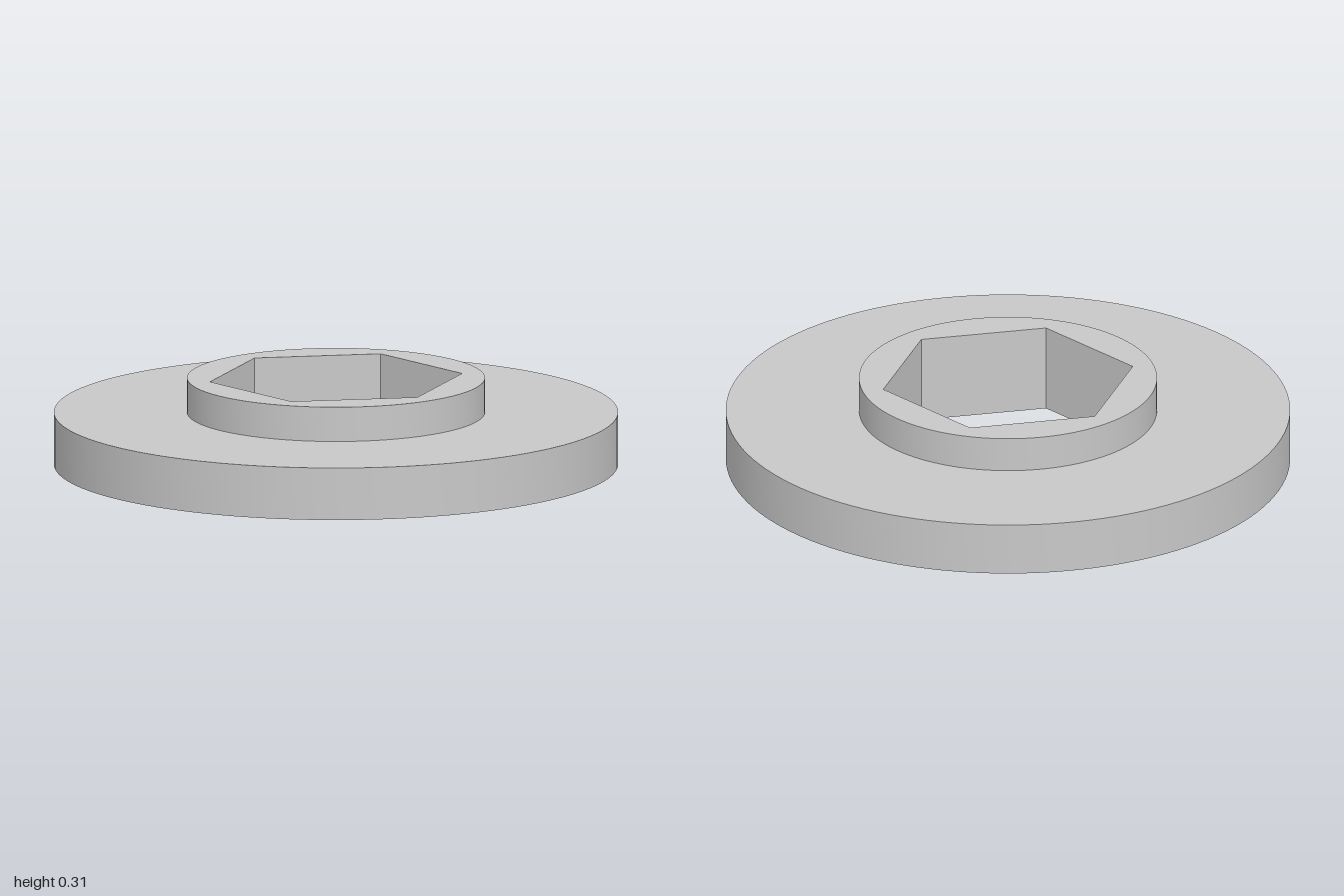
import * as THREE from 'three';
import { toCreasedNormals } from 'three/addons/utils/BufferGeometryUtils.js';

const FLANGE_R = 1, FLANGE_H = 0.188;
const COLLAR_R = 0.528, TOP = 0.312;
const HEX_R = 0.453; // centre to corner
const SEGMENTS = 128;

export function createModel() {
  const group = new THREE.Group();
  group.name = 'hexBoreFlange';
  const metal = new THREE.MeshStandardMaterial({ color: 0xc8c8c8 });
  metal.name = 'grey metal';

  const add = (name, geometry) => {
    const mesh = new THREE.Mesh(geometry, metal);
    mesh.name = name;
    group.add(mesh);
  };

  // Flat disc with a hexagonal opening, facing up (1) or down (-1)
  const hexDisc = (radius, y, facing) => {
    const shape = new THREE.Shape().absarc(0, 0, radius, 0, Math.PI * 2);
    const corners = [];
    for (let i = 0; i < 6; i++) {
      const a = (i * Math.PI) / 3;
      corners.push(new THREE.Vector2(HEX_R * Math.cos(a), HEX_R * Math.sin(a)));
    }
    shape.holes.push(new THREE.Path(corners));
    return new THREE.ShapeGeometry(shape, SEGMENTS / 2)
      .rotateX((-facing * Math.PI) / 2)
      .translate(0, y, 0);
  };

  // Stepped outside: flange rim, shoulder and collar wall
  const profile = [
    [FLANGE_R, 0], [FLANGE_R, FLANGE_H], [COLLAR_R, FLANGE_H], [COLLAR_R, TOP],
  ].map(([r, y]) => new THREE.Vector2(r, y));
  add('flangeAndCollar', toCreasedNormals(new THREE.LatheGeometry(profile, SEGMENTS), 0.5));

  // End faces
  add('collarTop', hexDisc(COLLAR_R, TOP, 1));
  add('flangeUnderside', hexDisc(FLANGE_R, 0, -1));

  // Hexagonal bore: open prism mirrored so its faces look inward
  const bore = new THREE.CylinderGeometry(HEX_R, HEX_R, TOP, 6, 1, true)
    .rotateY(Math.PI / 2)
    .scale(-1, 1, 1)
    .translate(0, TOP / 2, 0)
    .toNonIndexed();
  bore.computeVertexNormals();
  add('hexBore', bore);

  return group;
}
